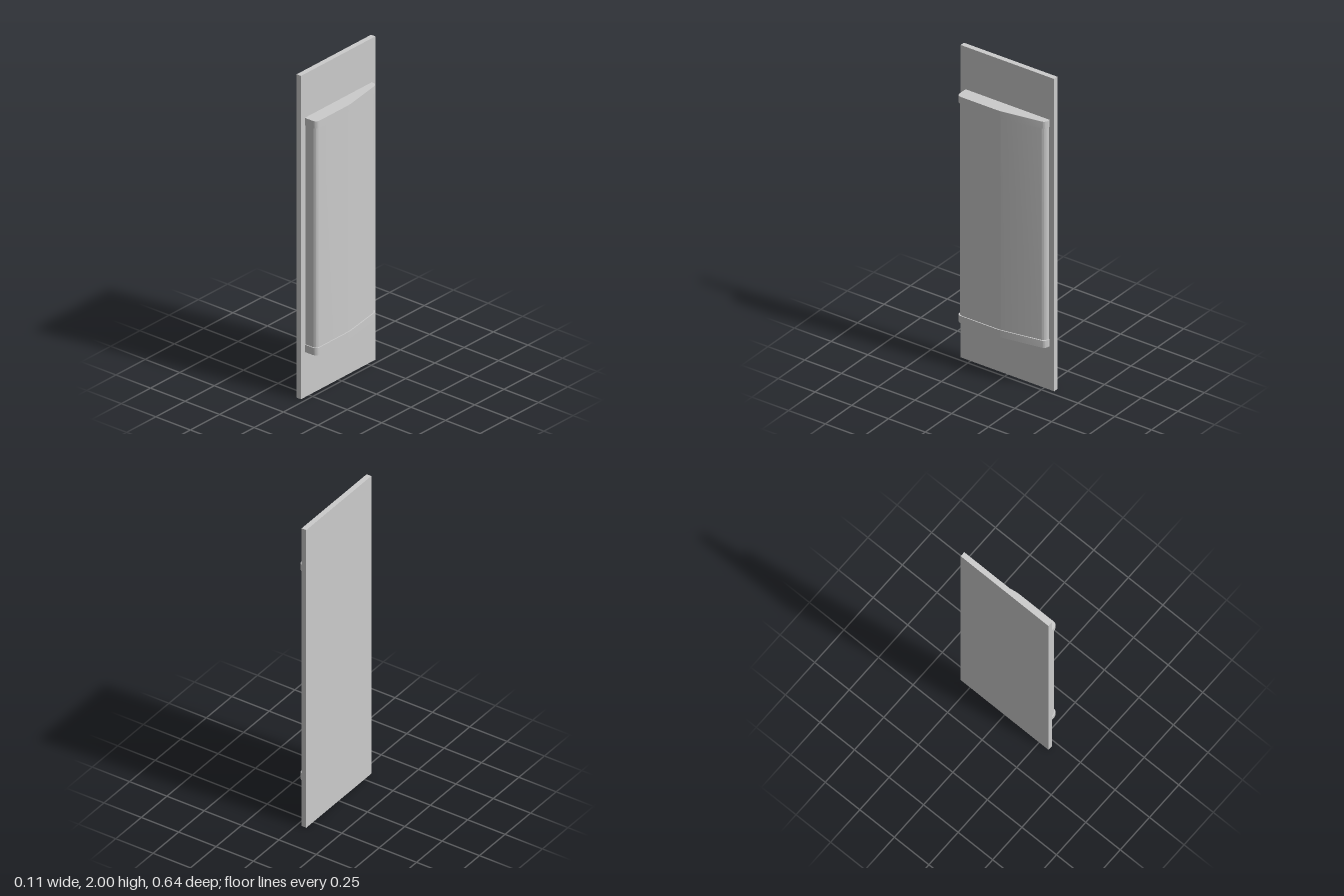
import * as THREE from 'three';
import { toCreasedNormals } from 'three/addons/utils/BufferGeometryUtils.js';

const PLATE_FRONT = -0.027;

// Horizontal section of the casing, shrunk by an inset (shape y is -z)
function casingOutline(inset) {
  const front = 0.285 - inset, back = -0.288 + inset, face = 0.057 - inset;
  const s = new THREE.Shape();
  s.moveTo(PLATE_FRONT, -front);
  s.lineTo(face - 0.028, -front);
  s.bezierCurveTo(face - 0.012, -front, face, -front + 0.012, face, -front + 0.026);
  s.lineTo(face, -0.02);
  s.quadraticCurveTo(face, 0, face - 0.003, 0.02);
  s.lineTo(0.014 - inset, -back - 0.026);
  s.bezierCurveTo(0.011 - inset, -back - 0.01, -0.003 - inset, -back, -0.019 - inset / 2, -back);
  s.lineTo(PLATE_FRONT, -back);
  s.closePath();
  return s;
}

export function createModel() {
  const group = new THREE.Group();
  const material = new THREE.MeshStandardMaterial({ color: 0xcccccc });

  const add = (name, geometry, x, y, z) => {
    const mesh = new THREE.Mesh(geometry, material);
    mesh.name = name;
    mesh.position.set(x, y, z);
    group.add(mesh);
  };

  // Vertical extrusion of the casing section from y0 to y1
  const addCasing = (name, inset, y0, y1) => {
    const geometry = new THREE.ExtrudeGeometry(casingOutline(inset), {
      depth: y1 - y0, bevelEnabled: false, curveSegments: 10,
    });
    geometry.rotateX(-Math.PI / 2);
    add(name, toCreasedNormals(geometry, 0.5), 0, y0, 0);
  };

  // Flat mounting plate
  add('backPlate', new THREE.BoxGeometry(0.031, 2, 0.636), -0.0425, 1, 0);

  // Slim casing between two slightly larger end caps
  addCasing('casingBody', 0.006, 0.325, 1.683);
  addCasing('bottomCap', 0, 0.28, 0.325);
  addCasing('topCap', 0, 1.683, 1.728);

  return group;
}
